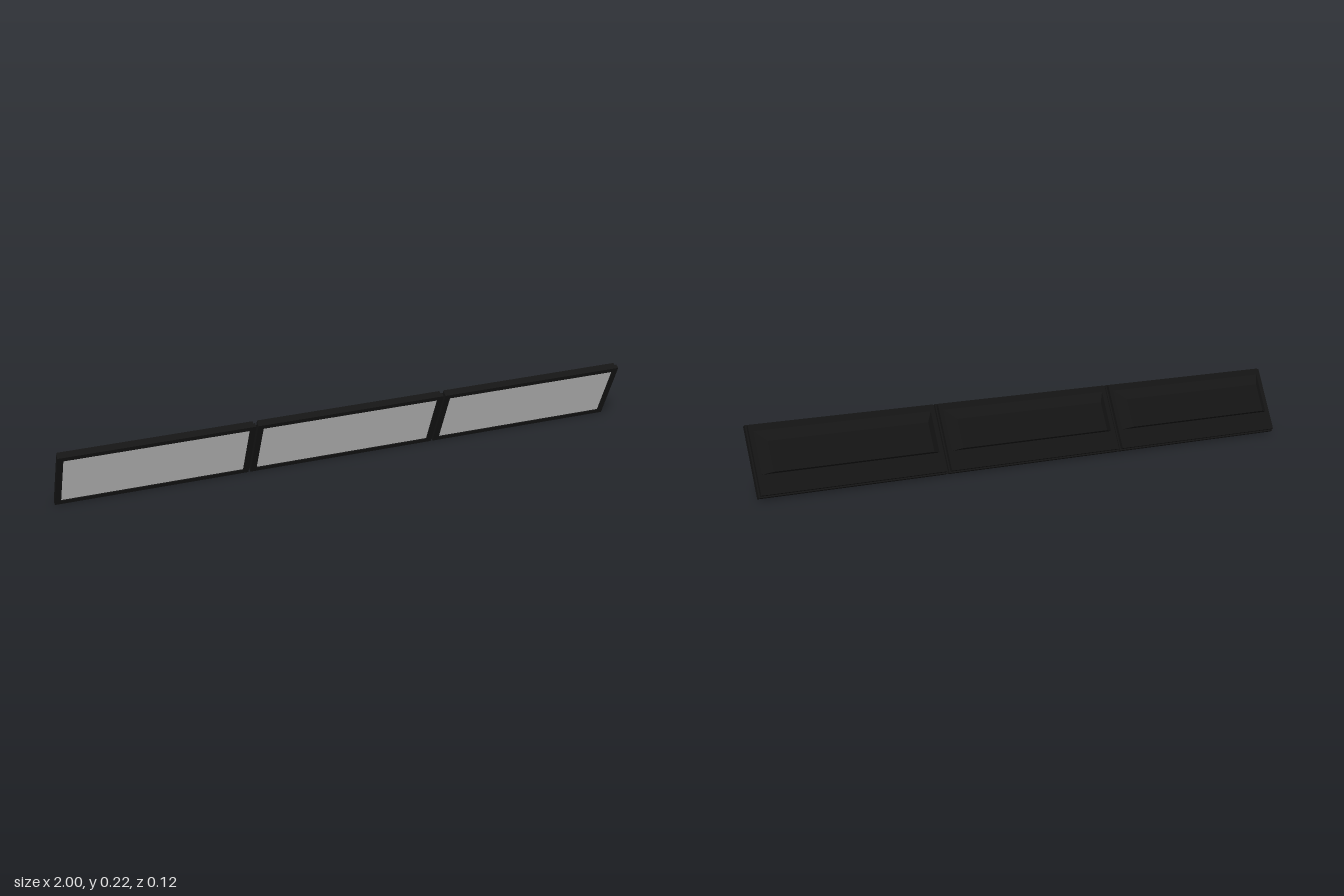
import * as THREE from 'three';

const WIDTH = 0.662, PITCH = 0.669, HEIGHT = 0.236;

export function createModel() {
  const root = new THREE.Group();
  const black = new THREE.MeshStandardMaterial({ color: 0x151515 });
  const grey = new THREE.MeshStandardMaterial({ color: 0xcccccc });

  const rect = (path, w, h) => {
    path.moveTo(-w / 2, -h / 2);
    path.lineTo(w / 2, -h / 2);
    path.lineTo(w / 2, h / 2);
    path.lineTo(-w / 2, h / 2);
    path.closePath();
    return path;
  };

  // front bezel: a frame with a rectangular opening
  const frame = rect(new THREE.Shape(), WIDTH, HEIGHT);
  frame.holes.push(rect(new THREE.Path(), WIDTH - 0.04, HEIGHT - 0.034));
  const bezelGeo = new THREE.ExtrudeGeometry(frame, { depth: 0.016, bevelEnabled: false });
  bezelGeo.translate(0, 0, -0.016);

  const screenGeo = new THREE.PlaneGeometry(WIDTH - 0.04, HEIGHT - 0.034);
  const backGeo = new THREE.BoxGeometry(WIDTH - 0.009, HEIGHT - 0.009, 0.013);

  // rear housing: sloped top and ends, square bottom
  const humpGeo = new THREE.BoxGeometry(WIDTH - 0.04, 0.141, 0.024).toNonIndexed();
  const p = humpGeo.attributes.position;
  for (let i = 0; i < p.count; i++) {
    if (p.getZ(i) > 0) continue;
    p.setX(i, p.getX(i) - Math.sign(p.getX(i)) * 0.03);
    if (p.getY(i) > 0) p.setY(i, p.getY(i) - 0.041);
  }
  humpGeo.computeVertexNormals();

  const add = (group, name, geo, mat, y, z) => {
    const mesh = new THREE.Mesh(geo, mat);
    mesh.name = name;
    mesh.position.set(0, y, z);
    group.add(mesh);
  };

  // three panels side by side, leaning forward
  for (const [i, name] of ['rightPanel', 'centrePanel', 'leftPanel'].entries()) {
    const panel = new THREE.Group();
    panel.name = name;
    add(panel, 'bezel', bezelGeo, black, 0, 0);
    add(panel, 'screen', screenGeo, grey, 0, -0.003);
    add(panel, 'backPlate', backGeo, black, 0, -0.0225);
    add(panel, 'rearHousing', humpGeo, black, 0.0225, -0.041);
    panel.rotation.x = THREE.MathUtils.degToRad(25.1);
    panel.position.set((i - 1) * PITCH, 0.107, 0.0125);
    root.add(panel);
  }
  return root;
}
